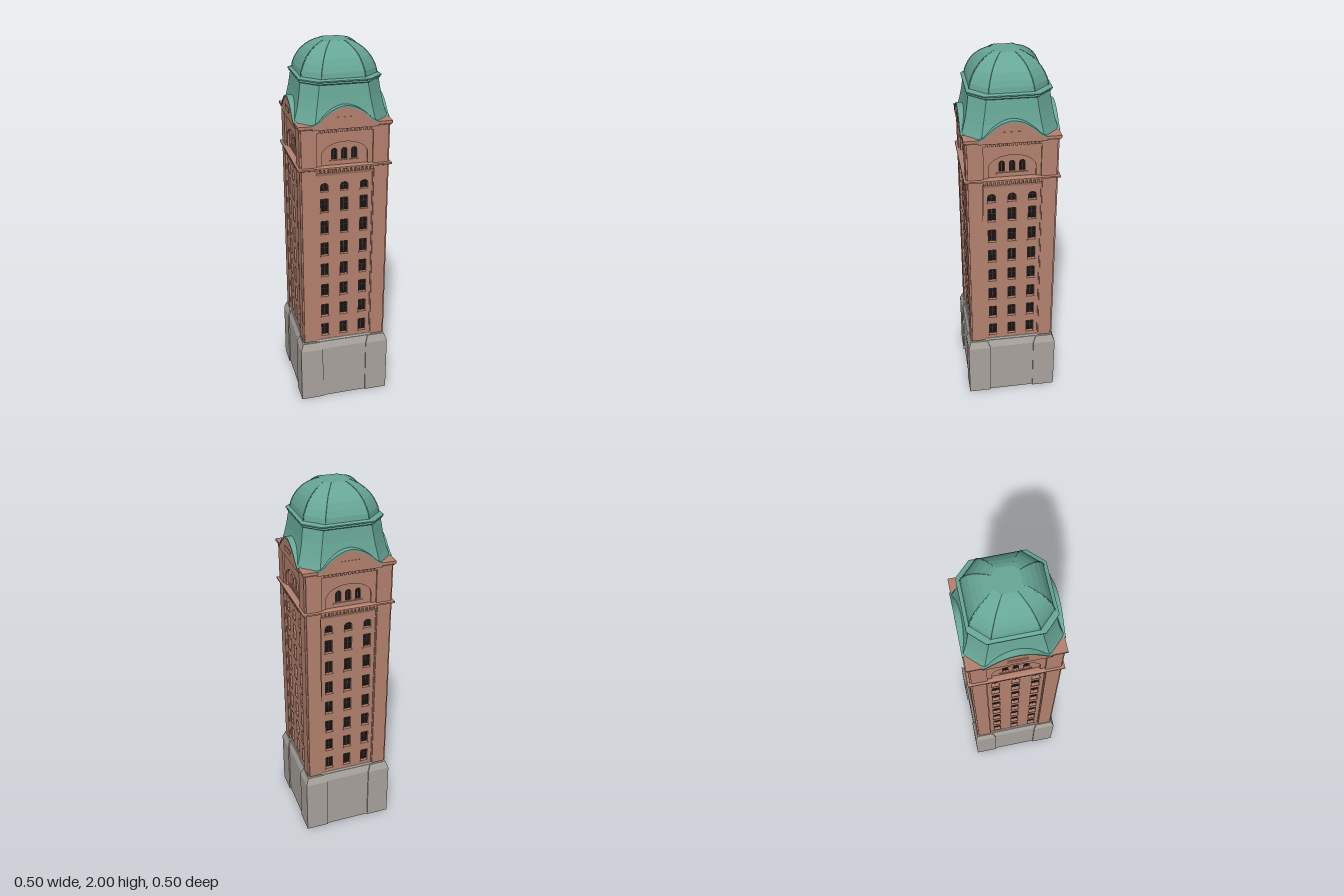
import * as THREE from 'three';

const mat = (color) => new THREE.MeshStandardMaterial({ color, flatShading: true });
const brick = mat(0xb5826f), copper = mat(0x67a797), stone = mat(0xaaa49e);
const glass = mat(0x151515), pale = mat(0xe4e0da), frame = mat(0x5a3d33);

function add(parent, name, geometry, material) {
  const mesh = new THREE.Mesh(geometry, material);
  mesh.name = name;
  parent.add(mesh);
  return mesh;
}

// Box given by its limits
function box(parent, name, material, x0, x1, y0, y1, z0, z1) {
  const g = new THREE.BoxGeometry(x1 - x0, y1 - y0, z1 - z0);
  g.translate((x0 + x1) / 2, (y0 + y1) / 2, (z0 + z1) / 2);
  return add(parent, name, g, material);
}

// Faceted solid through rings of [x, z] corners, each ring at its height
function loft(rings) {
  const v = [];
  const n = rings[0].pts.length;
  const p = (r, i) => [rings[r].pts[i % n][0], rings[r].y, rings[r].pts[i % n][1]];
  const tri = (...c) => c.forEach((q) => v.push(...q));
  for (let r = 0; r + 1 < rings.length; r++) {
    for (let i = 0; i < n; i++) {
      tri(p(r, i), p(r + 1, i), p(r + 1, i + 1));
      tri(p(r, i), p(r + 1, i + 1), p(r, i + 1));
    }
  }
  const top = rings.length - 1;
  for (let i = 1; i + 1 < n; i++) {
    tri(p(top, 0), p(top, i + 1), p(top, i));
    tri(p(0, 0), p(0, i), p(0, i + 1));
  }
  const g = new THREE.BufferGeometry();
  g.setAttribute('position', new THREE.Float32BufferAttribute(v, 3));
  g.computeVertexNormals();
  return g;
}

const rect = (y, x0, x1, z0, z1) => ({ y, pts: [[x1, z0], [x1, z1], [x0, z1], [x0, z0]] });
const square = (y, h) => rect(y, -h, h, -h, h);
// Square of half width h with cut corners that start at c
const octagon = ([y, h, c]) => ({
  y, pts: [[h, -c], [h, c], [c, h], [-c, h], [-h, c], [-h, -c], [-c, -h], [c, -h]],
});

// Opening with an elliptical head; rise 0 gives a rectangle
function opening(x, y0, w, h, rise) {
  const s = new THREE.Path();
  const spring = y0 + h - rise;
  s.moveTo(x - w / 2, y0);
  s.lineTo(x + w / 2, y0);
  s.lineTo(x + w / 2, spring);
  if (rise > 0) s.absellipse(x, spring, w / 2, rise, 0, Math.PI, false, 0);
  else s.lineTo(x - w / 2, spring);
  s.closePath();
  return s;
}

function wallShape(x, y0, y1, holes) {
  const s = new THREE.Shape();
  s.moveTo(-x, y0).lineTo(x, y0).lineTo(x, y1).lineTo(-x, y1).closePath();
  s.holes.push(...holes);
  return s;
}

// Extruded slab whose outer face lies at z = face
function slab(parent, name, shape, face, depth, material) {
  const g = new THREE.ExtrudeGeometry(shape, { depth, bevelEnabled: false, curveSegments: 12 });
  g.translate(0, 0, face - depth);
  return add(parent, name, g, material);
}

function buildSide() {
  const side = new THREE.Group();
  side.name = 'towerSide';

  // Shaft wall with three columns of windows
  const holes = [];
  for (const x of [-0.105, 0, 0.105]) {
    for (let row = 0; row < 8; row++) {
      const arched = row === 7;
      const y = arched ? 1.273 : 0.402 + row * 0.126;
      const h = arched ? 0.045 : 0.074;
      holes.push(opening(x, y, 0.04, h, arched ? 0.016 : 0));
      box(side, 'windowMullion', frame, x - 0.0015, x + 0.0015, y, y + h, 0.205, 0.211);
      box(side, 'windowTransom', frame, x - 0.02, x + 0.02, y + h * 0.55, y + h * 0.55 + 0.003, 0.205, 0.211);
      box(side, 'windowSill', brick, x - 0.023, x + 0.023, y - 0.007, y, 0.215, 0.225);
    }
  }
  slab(side, 'shaftWall', wallShape(0.215, 0.375, 1.4, holes), 0.221, 0.014, brick);
  for (const s of [-1, 1]) {
    const xs = [s * 0.152, s * 0.225].sort((a, b) => a - b);
    box(side, 'cornerPier', brick, xs[0], xs[1], 0.375, 1.4, 0.205, 0.233);
    const inner = [s * 0.147, s * 0.16].sort((a, b) => a - b);
    box(side, 'pierReturn', brick, inner[0], inner[1], 0.375, 1.37, 0.205, 0.227);
  }

  // Corbel and dentils under the belt cornice
  add(side, 'corbel', loft([rect(1.36, -0.152, 0.152, 0.2, 0.222), rect(1.4, -0.152, 0.152, 0.2, 0.236)]), brick);
  for (let i = -7; i <= 7; i++) {
    box(side, 'dentil', brick, i * 0.02 - 0.006, i * 0.02 + 0.006, 1.38, 1.4, 0.21, 0.24);
    box(side, 'upperDentil', brick, i * 0.02 - 0.006, i * 0.02 + 0.006, 1.588, 1.6, 0.21, 0.231);
  }

  // Belfry: stepped recesses around three arched windows
  slab(side, 'belfryFrame', wallShape(0.225, 1.4, 1.615, [opening(0, 1.41, 0.29, 0.19, 0)]), 0.233, 0.013, brick);
  slab(side, 'belfryPanel', wallShape(0.2, 1.4, 1.61, [opening(0, 1.412, 0.24, 0.123, 0.07)]), 0.224, 0.01, brick);
  const lights = [-0.052, 0, 0.052];
  slab(side, 'belfryNiche', wallShape(0.18, 1.4, 1.6, lights.map((x) => opening(x, 1.44, 0.028, 0.06, 0.014))),
    0.214, 0.009, brick);
  for (const x of lights) {
    box(side, 'belfryMullion', frame, x - 0.0015, x + 0.0015, 1.44, 1.495, 0.2, 0.208);
  }
  box(side, 'belfrySill', brick, -0.08, 0.08, 1.43, 1.437, 0.205, 0.219);

  // Curved gable with its copper roof
  const curve = new THREE.CatmullRomCurve3([
    [0.168, 1.622], [0.14, 1.638], [0.1, 1.674], [0.05, 1.704], [0, 1.715],
    [-0.05, 1.704], [-0.1, 1.674], [-0.14, 1.638], [-0.168, 1.622],
  ].map(([x, y]) => new THREE.Vector3(x, y, 0)));
  const pts = curve.getPoints(28).map((p) => new THREE.Vector2(p.x, p.y));
  const gable = new THREE.Shape([new THREE.Vector2(-0.168, 1.607), new THREE.Vector2(0.168, 1.607), ...pts]);
  slab(side, 'gable', gable, 0.2435, 0.05, brick);
  const over = pts.map((p) => new THREE.Vector2(p.x, p.y + 0.009)).reverse();
  slab(side, 'gableRoof', new THREE.Shape([...pts, ...over]), 0.247, 0.06, copper);
  box(side, 'gablePlaque', brick, -0.05, 0.05, 1.643, 1.668, 0.23, 0.2455);
  return side;
}

export function createModel() {
  const model = new THREE.Group();
  model.name = 'tower';

  // Stone base with four proud, chamfered corner blocks
  add(model, 'baseCore', loft([square(0, 0.243), square(0.325, 0.243), square(0.365, 0.229)]), stone);
  for (const sx of [-1, 1]) {
    for (const sz of [-1, 1]) {
      const ring = (y, a, b) => rect(y, ...[sx * a, sx * b].sort((p, q) => p - q),
        ...[sz * a, sz * b].sort((p, q) => p - q));
      add(model, 'baseCorner', loft([ring(0, 0.125, 0.25), ring(0.325, 0.125, 0.25), ring(0.366, 0.14, 0.235)]), stone);
    }
  }
  box(model, 'baseBand', pale, -0.225, 0.225, 0.365, 0.376, -0.225, 0.225);

  // Dark interior seen through the windows
  box(model, 'windowPanes', glass, -0.2075, 0.2075, 0.38, 1.4, -0.2075, 0.2075);
  box(model, 'belfryPanes', glass, -0.2055, 0.2055, 1.4, 1.6, -0.2055, 0.2055);

  // Four equal sides
  const side = buildSide();
  for (let i = 0; i < 4; i++) {
    const s = side.clone();
    s.rotation.y = (i * Math.PI) / 2;
    model.add(s);
  }

  // Belt cornice and eave
  add(model, 'beltCornice', loft([square(1.395, 0.234), square(1.4, 0.244), square(1.408, 0.244), square(1.412, 0.23)]), brick);
  add(model, 'eave', loft([square(1.605, 0.232), square(1.618, 0.242), square(1.63, 0.242)]), brick);

  // Flared copper skirt, collar and dome
  add(model, 'roofSkirt', loft([
    [1.63, 0.241, 0.155], [1.66, 0.231, 0.148], [1.7, 0.22, 0.141],
    [1.75, 0.21, 0.132], [1.82, 0.2, 0.122],
  ].map(octagon)), copper);
  add(model, 'roofCollar', loft([
    [1.815, 0.198, 0.12], [1.823, 0.207, 0.13], [1.829, 0.203, 0.126],
    [1.832, 0.21, 0.134], [1.838, 0.21, 0.134], [1.844, 0.194, 0.112],
  ].map(octagon)), copper);
  const dome = [
    [1.838, 0.194, 0.112], [1.87, 0.189, 0.109], [1.9, 0.177, 0.102], [1.93, 0.16, 0.092],
    [1.957, 0.136, 0.079], [1.978, 0.109, 0.063], [1.992, 0.083, 0.048], [1.999, 0.063, 0.036],
  ];
  add(model, 'dome', loft(dome.map(octagon)), copper);

  // Ribs along the dome's eight corners
  for (let k = 0; k < 8; k++) {
    const path = new THREE.CatmullRomCurve3(dome.map((d) => {
      const r = octagon(d);
      return new THREE.Vector3(r.pts[k][0], r.y - 0.001, r.pts[k][1]);
    }));
    add(model, 'domeRib', new THREE.TubeGeometry(path, 14, 0.0028, 4), copper);
  }
  return model;
}
